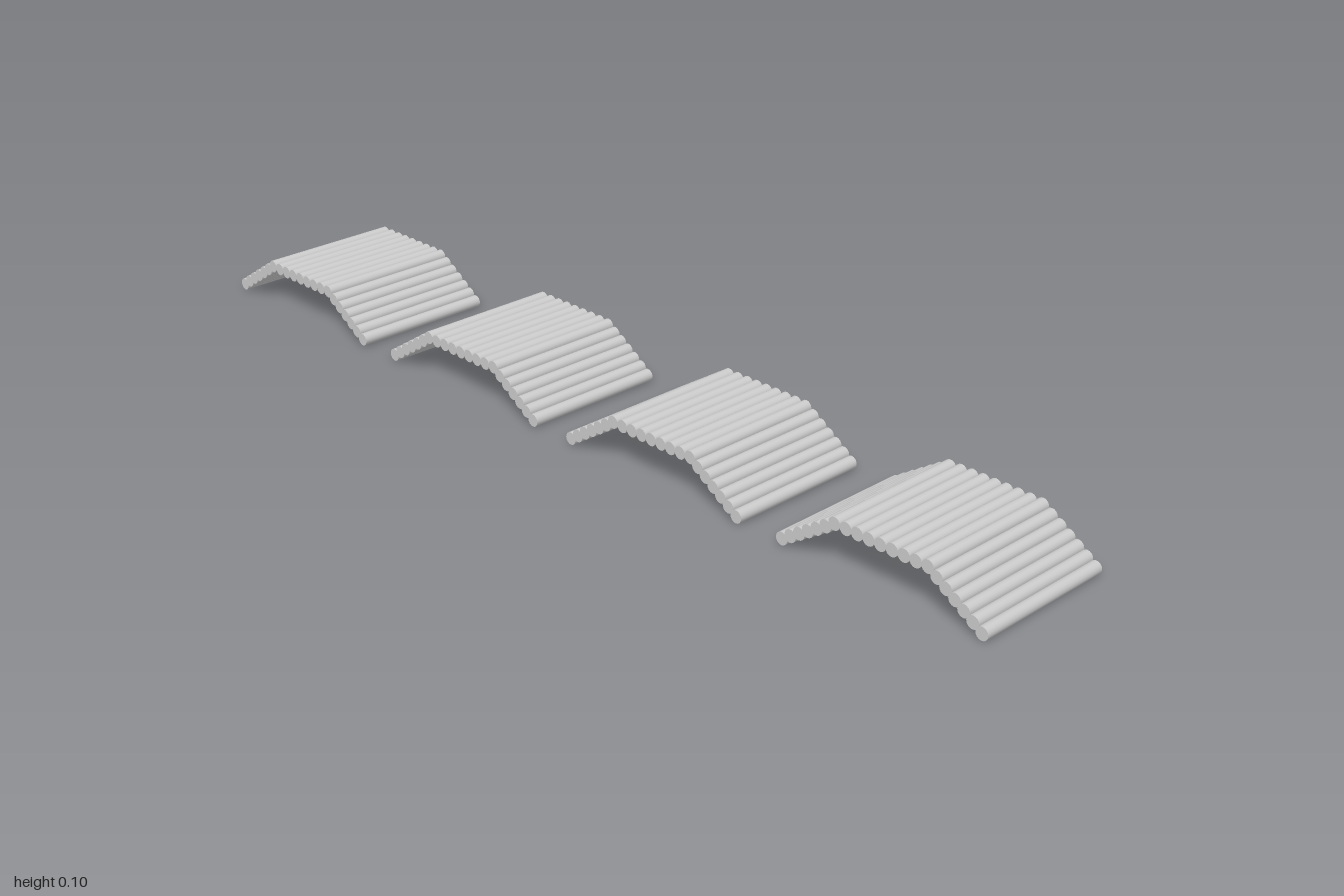
import * as THREE from 'three';

const R = 0.0125;        // log radius
const LENGTH = 0.3;      // log length along z
const FLAT_STEPS = 8;    // gaps between logs on the flat top
const FLAT_STEP = 0.024;
const SLOPE_LOGS = 6;    // logs on each sloping side
const SLOPE_DX = 0.0186;
const SLOPE_DY = 0.012;

export function createModel() {
  const model = new THREE.Group();
  model.name = 'logArches';
  const material = new THREE.MeshStandardMaterial({ color: 0xcccccc });
  const logGeometry = new THREE.CylinderGeometry(R, R, LENGTH, 16).rotateX(Math.PI / 2);

  // One arch: a flat row of logs with a sloping row down each side
  function createArch(name) {
    const arch = new THREE.Group();
    arch.name = name;
    const addLog = (part, x, y) => {
      const log = new THREE.Mesh(logGeometry, material);
      log.name = part;
      log.position.set(x, y, 0);
      arch.add(log);
    };
    const topY = R + SLOPE_LOGS * SLOPE_DY;
    const half = FLAT_STEPS * FLAT_STEP / 2;
    for (let i = 0; i <= FLAT_STEPS; i++) addLog('topLog', -half + i * FLAT_STEP, topY);
    for (const side of [-1, 1]) {
      for (let i = 1; i <= SLOPE_LOGS; i++) {
        addLog(side > 0 ? 'leftSlopeLog' : 'rightSlopeLog',
          side * (half + i * SLOPE_DX), topY - i * SLOPE_DY);
      }
    }
    return arch;
  }

  // Four arches in a row, turned very slightly about the vertical
  for (let i = 0; i < 4; i++) {
    const arch = createArch('arch' + (i + 1));
    arch.position.x = (i - 1.5) * 0.52;
    model.add(arch);
  }
  model.rotation.y = 0.002;
  return model;
}
